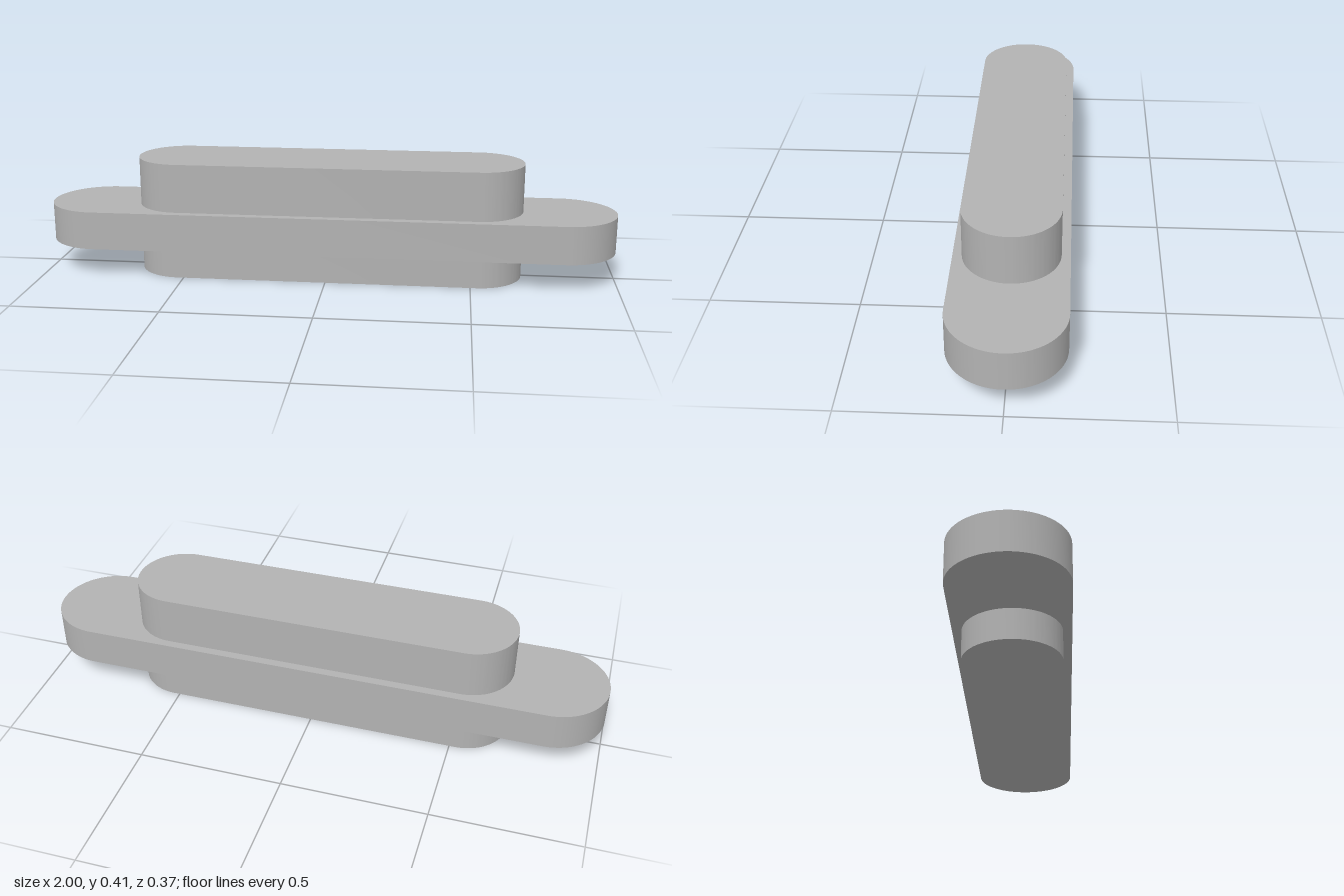
import * as THREE from 'three';
import { toCreasedNormals } from 'three/addons/utils/BufferGeometryUtils.js';

// Upright prism with a stadium outline, from height y0 to y1
function stadium(name, halfLength, radius, y0, y1, material) {
  const c = halfLength - radius;
  const shape = new THREE.Shape();
  shape.moveTo(-c, -radius);
  shape.lineTo(c, -radius);
  shape.absarc(c, 0, radius, -Math.PI / 2, Math.PI / 2, false);
  shape.lineTo(-c, radius);
  shape.absarc(-c, 0, radius, Math.PI / 2, Math.PI * 1.5, false);
  const geometry = new THREE.ExtrudeGeometry(shape, {
    depth: y1 - y0, bevelEnabled: false, curveSegments: 32,
  });
  geometry.rotateX(-Math.PI / 2).translate(0, y0, 0);
  const mesh = new THREE.Mesh(toCreasedNormals(geometry, 0.6), material);
  mesh.name = name;
  return mesh;
}

export function createModel() {
  const group = new THREE.Group();
  group.name = 'flangedSlotBlock';
  const grey = new THREE.MeshStandardMaterial({ color: 0xb2b2b2 });
  grey.name = 'grey';

  // Narrow block below and above the wide flange
  group.add(stadium('lowerBlock', 0.678, 0.157, 0, 0.103, grey));
  group.add(stadium('flange', 1, 0.186, 0.103, 0.236, grey));
  group.add(stadium('upperBlock', 0.678, 0.157, 0.236, 0.406, grey));
  return group;
}
